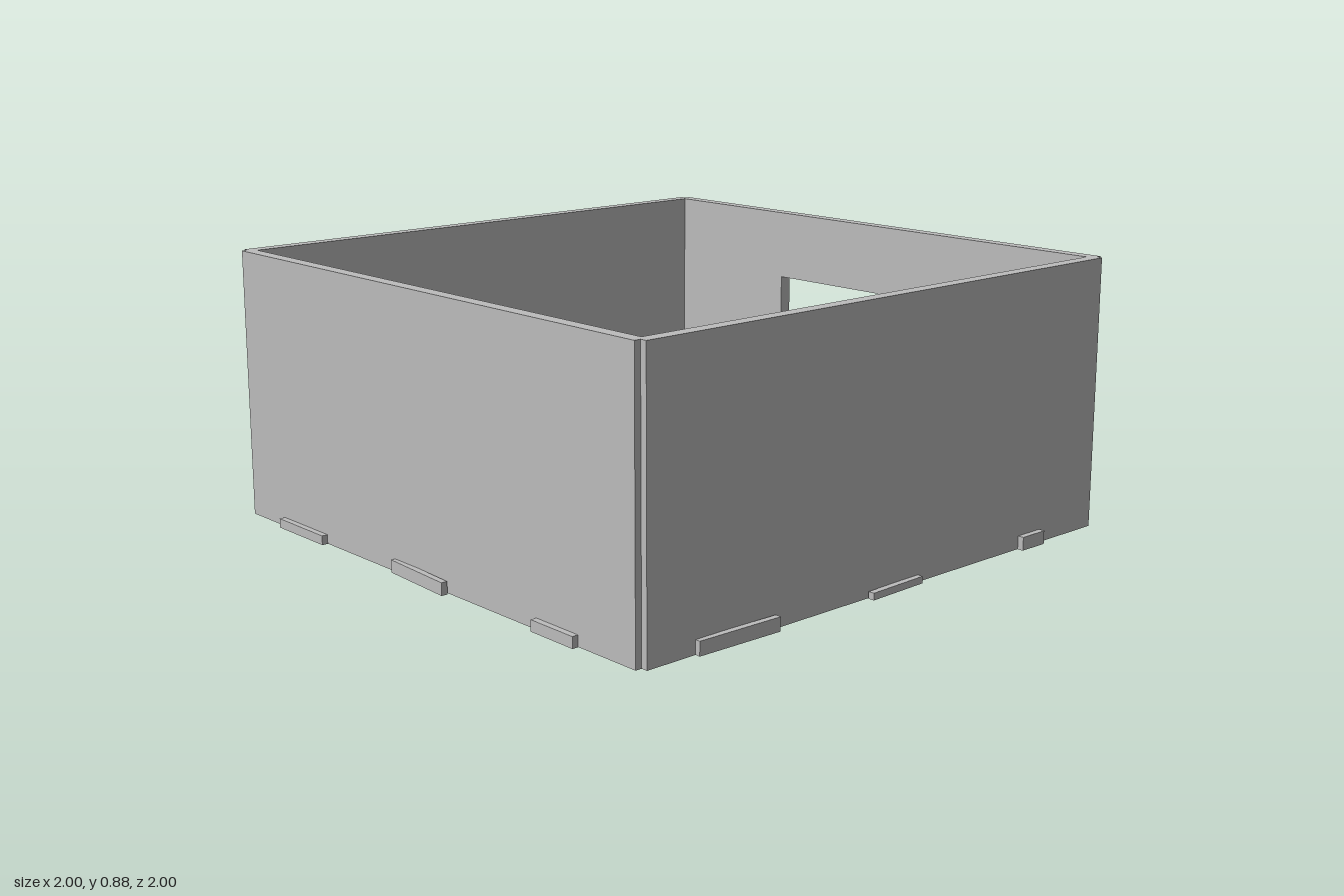
import * as THREE from 'three';

export function createModel() {
  const group = new THREE.Group();
  const grey = new THREE.MeshStandardMaterial({ color: 0xbdbdbd });
  grey.name = 'plainGrey';

  const H = 0.875; // wall height
  const T = 0.043; // wall thickness
  const IN = 0.93; // inner face of the walls
  const HALF = 0.952; // half length, leaves a small notch at each corner

  const add = (geometry, name, x, y, z, turn = 0) => {
    const mesh = new THREE.Mesh(geometry, grey);
    mesh.name = name;
    mesh.position.set(x, y, z);
    mesh.rotation.y = turn;
    group.add(mesh);
  };

  // Plain walls
  const mid = IN + T / 2;
  add(new THREE.BoxGeometry(2 * HALF, H, T), 'frontWall', 0, H / 2, mid);
  add(new THREE.BoxGeometry(T, H, 2 * HALF), 'leftWall', mid, H / 2, 0);
  add(new THREE.BoxGeometry(T, H, 2 * HALF), 'rightWall', -mid, H / 2, 0);

  // Back wall with a doorway open to the ground
  const door = 0.408, doorTop = 0.64;
  const outline = new THREE.Shape([
    [-HALF, 0], [-door, 0], [-door, doorTop], [door, doorTop],
    [door, 0], [HALF, 0], [HALF, H], [-HALF, H],
  ].map(([x, y]) => new THREE.Vector2(x, y)));
  add(new THREE.ExtrudeGeometry(outline, { depth: T, bevelEnabled: false }),
    'backWall', 0, 0, -IN - T);

  // Foot blocks along the walls: [start, end, height, turn]
  const rows = {
    frontOuter: [[-0.76, -0.51, 0.03, 0], [-0.14, 0.135, 0.04, -0.05], [0.54, 0.72, 0.035, 0]],
    frontInner: [[-0.725, -0.55, 0.035, 0.03], [-0.13, 0.125, 0.035, -0.02], [0.55, 0.715, 0.03, -0.02]],
    backOuter: [[-0.745, -0.615, 0.035, -0.03], [0.585, 0.77, 0.035, 0.02]],
    backInner: [[-0.83, -0.53, 0.035, 0.04], [0.585, 0.765, 0.035, 0.01]],
    leftOuter: [[-0.69, -0.585, 0.043, 0], [-0.115, 0.105, 0.022, 0.03], [0.485, 0.78, 0.043, -0.03]],
    leftInner: [[-0.71, -0.575, 0.035, 0.02], [-0.17, 0.155, 0.035, 0.04], [0.57, 0.69, 0.035, 0]],
    rightOuter: [[-0.785, -0.5, 0.04, 0.01], [-0.135, 0.12, 0.035, -0.02], [0.485, 0.77, 0.04, -0.03]],
    rightInner: [[-0.79, -0.49, 0.035, -0.04], [-0.115, 0.105, 0.035, 0.03], [0.495, 0.765, 0.035, 0.03]],
  };
  const thick = 0.02;
  for (const [name, blocks] of Object.entries(rows)) {
    const alongX = /^(front|back)/.test(name);
    const sign = /^(front|left)/.test(name) ? 1 : -1;
    const offset = sign * (name.endsWith('Outer') ? 0.984 : 0.918);
    blocks.forEach(([a, b, h, turn], i) => {
      const c = (a + b) / 2, len = b - a;
      const geometry = alongX
        ? new THREE.BoxGeometry(len, h, thick)
        : new THREE.BoxGeometry(thick, h, len);
      add(geometry, `${name}Block${i + 1}`, alongX ? c : offset, h / 2, alongX ? offset : c, turn);
    });
  }
  return group;
}
